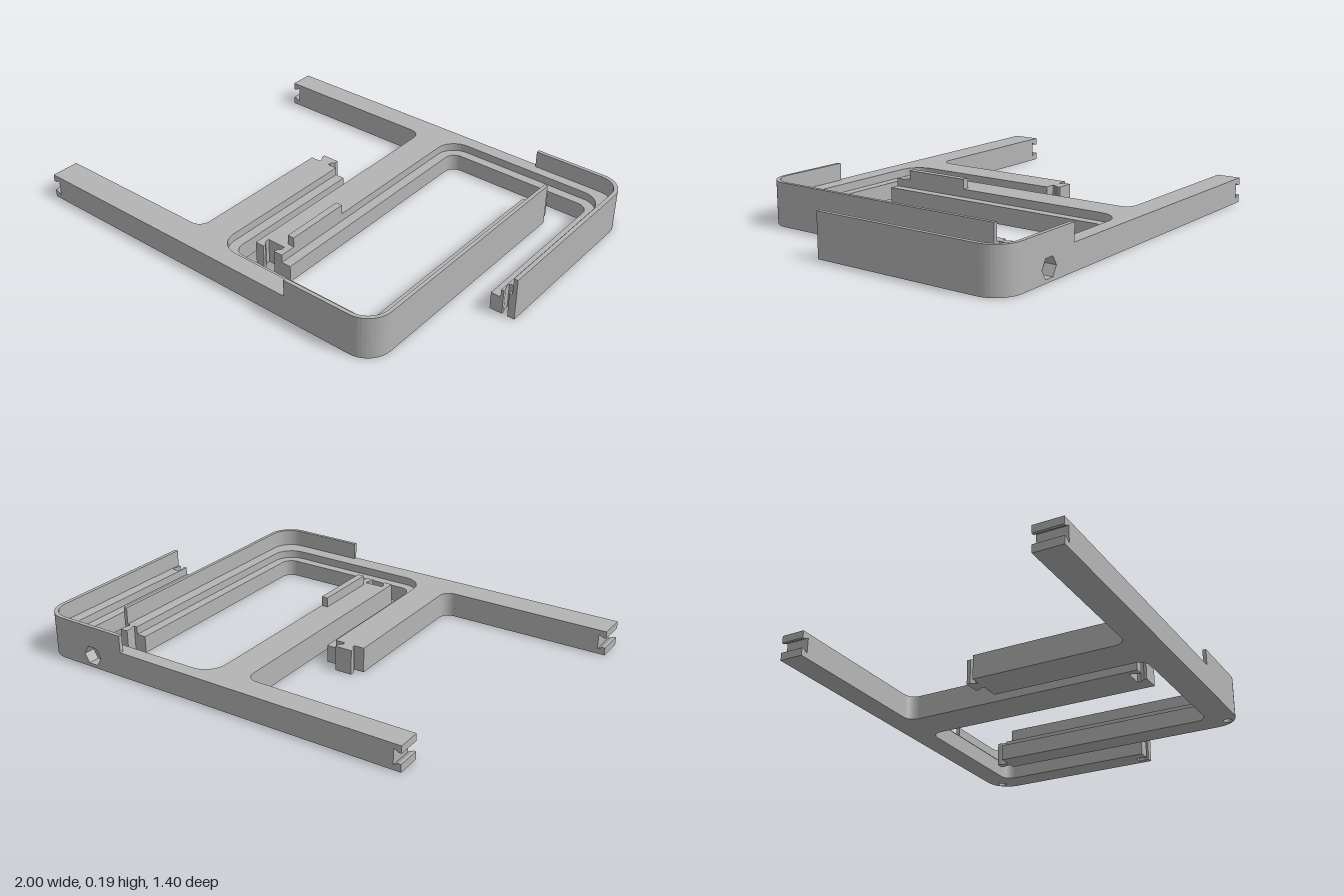
import * as THREE from 'three';

const grey = new THREE.MeshStandardMaterial({ color: 0xb4b4b4 });
grey.name = 'grey plastic';

// Closed outline from [x, z, cornerRadius] points
function outline(points) {
  const shape = new THREE.Shape();
  const n = points.length;
  points.forEach(([x, z, r = 0], i) => {
    const p = new THREE.Vector2(x, z);
    const toward = (q) => new THREE.Vector2(q[0], q[1]).sub(p).normalize();
    const a = toward(points[(i + n - 1) % n]);
    const b = toward(points[(i + 1) % n]);
    const s = p.clone().addScaledVector(a, r);
    if (i === 0) shape.moveTo(s.x, s.y); else shape.lineTo(s.x, s.y);
    if (r) {
      const e = p.clone().addScaledVector(b, r);
      const c1 = s.clone().addScaledVector(a, -0.5523 * r);
      const c2 = e.clone().addScaledVector(b, -0.5523 * r);
      shape.bezierCurveTo(c1.x, c1.y, c2.x, c2.y, e.x, e.y);
    }
  });
  shape.closePath();
  return shape;
}

function add(group, name, geometry) {
  const mesh = new THREE.Mesh(geometry, grey);
  mesh.name = name;
  group.add(mesh);
}

// Plan shape (x, z) raised from y0 to y1
function slab(group, name, points, y0, y1, hole) {
  const shape = outline(points);
  if (hole) shape.holes.push(new THREE.Path().absarc(hole[0], hole[1], 0.02, 0, Math.PI * 2, true));
  const g = new THREE.ExtrudeGeometry(shape, { depth: y1 - y0, bevelEnabled: false, curveSegments: 10 });
  g.rotateX(Math.PI / 2).translate(0, y1, 0);
  add(group, name, g);
}

// Arm end with a dovetail groove running across it
function groovedEnd(group, x, z0, z1) {
  const s = outline([
    [x, 0], [x + 0.06, 0], [x + 0.06, 0.11], [x, 0.11], [x, 0.078],
    [x + 0.012, 0.078], [x + 0.033, 0.09], [x + 0.033, 0.022], [x + 0.012, 0.034], [x, 0.034],
  ]);
  const g = new THREE.ExtrudeGeometry(s, { depth: z1 - z0, bevelEnabled: false });
  add(group, 'groovedArmEnd', g.translate(0, 0, z0));
}

// Dovetail points from left to right: tongue (dz < 0) or matching socket
function dovetail(x, z, neck, head, dz) {
  return [[x - neck, z], [x - neck, z + dz * 0.25], [x - head, z + dz * 0.65], [x - head, z + dz],
    [x + head, z + dz], [x + head, z + dz * 0.65], [x + neck, z + dz * 0.25], [x + neck, z]];
}

// Three layers: bottom with a blind hole, ledge level, then inset upper level
function layers(group, plan, hole) {
  slab(group, 'bottomLayer', plan(0), 0, 0.04, hole);
  slab(group, 'ledgeLayer', plan(0), 0.04, 0.075);
  slab(group, 'upperLayer', plan(0.043), 0.075, 0.11);
}

function frontFrame() {
  const group = new THREE.Group();
  group.name = 'frontFrame';
  layers(group, (d) => [
    [-0.94, 0.575], [-0.23, 0.575, 0.05], [-0.23, -0.12],
    ...dovetail(-0.161, -0.12, 0.024, 0.038, -0.047),
    [-0.05 - d, -0.12], [-0.05 - d, 0.575 + d, 0.05 + d],
    [0.64 + d, 0.575 + d, 0.05 + d], [0.64 + d, -0.477],
    ...dovetail(0.709, -0.477, 0.011, 0.018, -0.052),
    [0.75, -0.477], [0.75, 0.7, 0.11], [-0.94, 0.7],
  ], [0.7, 0.65]);
  groovedEnd(group, -1, 0.575, 0.7);
  // Thin raised lip around the outer corner
  slab(group, 'outerLip', [
    [0.328, 0.7], [0.328, 0.684], [0.734, 0.684, 0.094], [0.734, -0.477],
    [0.75, -0.477], [0.75, 0.7, 0.11],
  ], 0.11, 0.185);
  return group;
}

function backFrame() {
  const group = new THREE.Group();
  group.name = 'backFrame';
  const hx = 0.73, hw = 0.06, hz = -0.65;
  layers(group, (d) => [
    [-0.69, -0.7], [hx - hw, -0.7], [hx - hw, hz], [hx + hw, hz], [hx + hw, -0.7],
    [1, -0.7, 0.11], [1, 0.15],
    ...dovetail(0.957, 0.15, 0.012, 0.02, -0.05).reverse(),
    [0.89 + d, 0.15], [0.89 + d, -0.595 - d, 0.05 + d],
    [0.195 - d, -0.595 - d, 0.05 + d], [0.195 - d, 0.512],
    ...dovetail(0.083, 0.512, 0.028, 0.042, -0.047).reverse(),
    [0.015, 0.512], [0.015, -0.595, 0.05], [-0.69, -0.595],
  ], [0.95, -0.65]);
  groovedEnd(group, -0.75, -0.7, -0.595);
  // Six-sided recess in the back face
  const s = outline([[hx - hw, 0], [hx + hw, 0], [hx + hw, 0.11], [hx - hw, 0.11]]);
  const hex = [];
  for (let i = 0; i < 6; i++) {
    const a = -i * Math.PI / 3;
    hex.push(new THREE.Vector2(hx + 0.044 * Math.cos(a), 0.053 + 0.044 * Math.sin(a)));
  }
  s.holes.push(new THREE.Path(hex));
  add(group, 'recessBlock', new THREE.ExtrudeGeometry(s, { depth: hz + 0.7, bevelEnabled: false }).translate(0, 0, -0.7));
  slab(group, 'outerLip', [
    [0.573, -0.7], [1, -0.7, 0.11], [1, 0.15], [0.982, 0.15],
    [0.982, -0.683, 0.093], [0.573, -0.683],
  ], 0.11, 0.185);
  // Small raised key on the stem
  add(group, 'stemKey', new THREE.BoxGeometry(0.03, 0.045, 0.3).translate(0.137, 0.1305, 0.29));
  return group;
}

export function createModel() {
  const model = new THREE.Group();
  model.name = 'interlockingFrame';
  model.add(frontFrame(), backFrame());
  return model;
}
